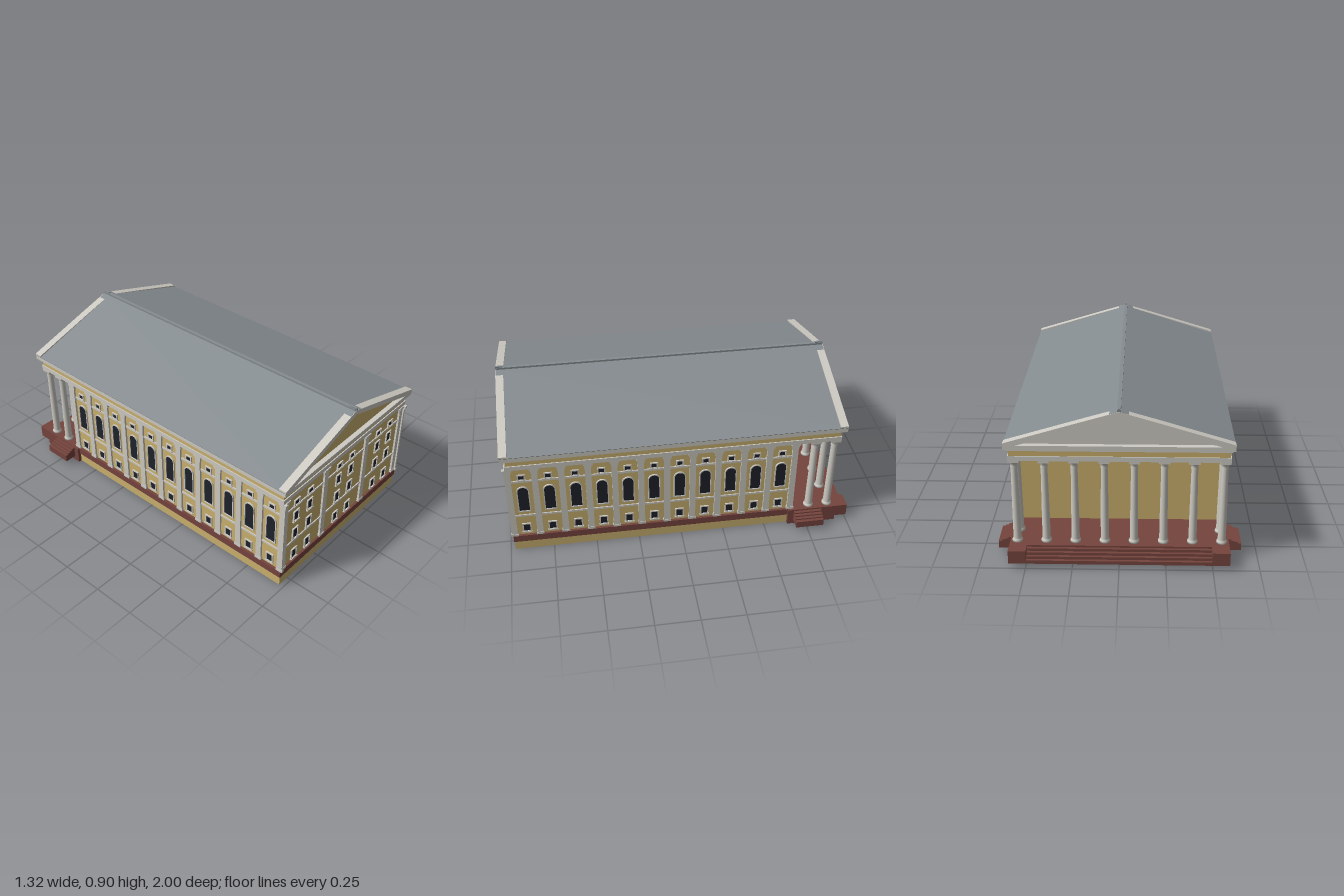
import * as THREE from 'three';

const mat = (name, color, side = THREE.FrontSide) => {
  const m = new THREE.MeshStandardMaterial({ color, side });
  m.name = name;
  return m;
};

export function createModel() {
  const ochre = mat('ochre wall', 0xcbb16f);
  const trim = mat('pale stone', 0xcecbc3);
  const brown = mat('red brown stone', 0x76443e);
  const glass = mat('dark glass', 0x20222c);
  const slate = mat('slate roof', 0x858c8f, THREE.DoubleSide);

  const model = new THREE.Group();
  model.name = 'columnedHall';

  const add = (parent, name, geo, material) => {
    const m = new THREE.Mesh(geo, material);
    m.name = name;
    parent.add(m);
    return m;
  };
  // Box given by its limits on each axis
  const box = (name, material, x0, x1, y0, y1, z0, z1, parent = model) =>
    add(parent, name, new THREE.BoxGeometry(x1 - x0, y1 - y0, z1 - z0), material)
      .position.set((x0 + x1) / 2, (y0 + y1) / 2, (z0 + z1) / 2);
  const polygon = pts => new THREE.Shape(pts.map(p => new THREE.Vector2(...p)));
  const extrude = (shape, depth) =>
    new THREE.ExtrudeGeometry(shape, { depth, bevelEnabled: false, curveSegments: 10 });
  // Hollow rectangular course around the building
  const ring = (name, material, x, z0, z1, y0, y1, t) => {
    for (const s of [-1, 1]) box(name, material, s > 0 ? x - t : -x, s > 0 ? x : t - x, y0, y1, z0, z1);
    box(name, material, t - x, x - t, y0, y1, z1 - t, z1);
    box(name, material, t - x, x - t, y0, y1, z0, z0 + t);
  };

  const W = 0.562, F = 0.965, B = -0.64, floor = 0.105, top = 0.595;

  // Open-bottomed walls and brown plinth band
  ring('wall', ochre, W, B, F, 0, 0.6, 0.01);
  box('baseCourse', ochre, W, W + 0.008, 0, 0.062, B, F + 0.005);
  box('baseCourse', ochre, -W - 0.008, -W, 0, 0.062, B, F + 0.005);
  box('baseCourse', ochre, -W - 0.008, W + 0.008, 0, 0.062, F, F + 0.008);
  ring('plinthBand', brown, W + 0.015, B, F + 0.013, 0.062, floor, 0.017);

  // Entablature over hall and portico
  ring('architrave', trim, 0.58, -0.913, 0.978, top, 0.622, 0.04);
  ring('frieze', ochre, 0.574, -0.908, 0.972, 0.622, 0.656, 0.034);
  ring('corniceMoulding', trim, 0.585, -0.922, 0.985, 0.656, 0.668, 0.045);
  ring('cornice', trim, 0.597, -0.935, 0.998, 0.668, 0.692, 0.057);
  box('porticoCeiling', ochre, -0.545, 0.545, 0.61, 0.618, -0.88, B + 0.005);

  // Pitched roof and ridge
  for (const s of [-1, 1]) {
    const len = Math.hypot(0.597, 0.19);
    const slope = add(model, 'roofSlope', new THREE.BoxGeometry(len, 0.006, 1.932), slate);
    slope.position.set(s * 0.2985, 0.787, 0.0315);
    slope.rotation.z = -s * Math.atan2(0.19, 0.597);
  }
  box('ridge', slate, -0.01, 0.01, 0.878, 0.893, -0.934, 0.997);
  for (const z of [-0.935, 0.955]) box('ridgeEnd', slate, -0.006, 0.006, 0.88, 0.9, z, z + 0.044);

  // Pediments: tympanum and raking cornice at both ends
  const gable = polygon([[-0.56, 0.688], [0.56, 0.688], [0, 0.866]]);
  add(model, 'frontTympanum', extrude(gable, 0.01), ochre).position.z = 0.96;
  add(model, 'backTympanum', extrude(gable, 0.01), trim).position.z = -0.907;
  const rake = polygon([[-0.597, 0.69], [-0.54, 0.69], [0, 0.855], [0.54, 0.69], [0.597, 0.69],
    [0.597, 0.705], [0.2, 0.825], [0, 0.884], [-0.2, 0.825], [-0.597, 0.705]]);
  for (const z of [-0.937, 0.955]) add(model, 'rakingCornice', extrude(rake, 0.045), trim).position.z = z;

  // Window outline, optionally with an arched top
  const opening = (w, y0, y1, arched, Type) => {
    const p = new Type(), r = w / 2;
    p.moveTo(-r, y0);
    p.lineTo(r, y0);
    if (arched) p.absarc(0, y1 - r, r, 0, Math.PI, false);
    else p.lineTo(r, y1).lineTo(-r, y1);
    p.closePath();
    return p;
  };
  const addWindow = (wall, x, w, y0, y1, arched = false, b = 0.007) => {
    const g = new THREE.Group();
    g.name = 'window';
    g.position.x = x;
    const frame = opening(w + 2 * b, y0 - b, y1 + b, arched, THREE.Shape);
    frame.holes.push(opening(w, y0, y1, arched, THREE.Path));
    add(g, 'windowFrame', extrude(frame, 0.008), trim);
    add(g, 'windowPane', extrude(opening(w, y0, y1, arched, THREE.Shape), 0.003), glass);
    if (!arched) box('windowSill', trim, -w / 2 - 0.01, w / 2 + 0.01, y0 - 0.009, y0 - 0.003, 0, 0.011, g);
    wall.add(g);
  };
  // Pilaster with flared foot and capital
  const pilasterShape = polygon([[-0.022, floor], [0.022, floor], [0.022, 0.12], [0.018, 0.13],
    [0.017, 0.55], [0.021, 0.575], [0.026, 0.583], [0.026, top], [-0.026, top], [-0.026, 0.583],
    [-0.021, 0.575], [-0.017, 0.55], [-0.018, 0.13], [-0.022, 0.12]]);
  const addPilaster = (wall, x) => {
    add(wall, 'pilaster', extrude(pilasterShape, 0.012), trim).position.x = x;
    box('pilasterCapital', trim, x - 0.026, x + 0.026, 0.582, top, 0, 0.018, wall);
    box('pilasterFoot', trim, x - 0.022, x + 0.022, floor, 0.12, 0, 0.015, wall);
  };
  const addCourses = (wall, half) => {
    for (const [y0, y1] of [[0.244, 0.256], [0.494, 0.506]])
      box('stringCourse', trim, -half, half, y0, y1, 0, 0.006, wall);
  };

  // Front facade
  const front = new THREE.Group();
  front.name = 'frontFacade';
  front.position.z = F;
  model.add(front);
  addCourses(front, W);
  for (const x of [-0.55, -0.195, 0.195, 0.55]) addPilaster(front, x);
  for (const x of [-0.447, -0.327, -0.06, 0.06, 0.327, 0.447])
    for (const [y0, y1] of [[0.124, 0.18], [0.27, 0.335], [0.4, 0.46], [0.512, 0.542]])
      addWindow(front, x, 0.036, y0, y1);

  // Side facades: eleven bays between twelve pilasters
  const pitch = 0.1472, mid = 0.1585;
  for (const s of [-1, 1]) {
    const side = new THREE.Group();
    side.name = s > 0 ? 'leftFacade' : 'rightFacade';
    side.position.set(s * W, 0, mid);
    side.rotation.y = s * Math.PI / 2;
    model.add(side);
    addCourses(side, 0.8);
    for (let i = 0; i < 12; i++) addPilaster(side, (i - 5.5) * pitch);
    for (let i = 0; i < 11; i++) {
      const x = (i - 5) * pitch;
      addWindow(side, x, 0.036, 0.133, 0.182);
      addWindow(side, x, 0.058, 0.287, 0.457, true, 0.006);
      addWindow(side, x, 0.03, 0.515, 0.542);
    }
  }

  // Portico columns: eight across the back and one behind each end
  const columnGeo = new THREE.LatheGeometry([[0, floor], [0.029, floor], [0.029, 0.115], [0.025, 0.122],
    [0.022, 0.128], [0.0215, 0.25], [0.018, 0.545], [0.021, 0.55], [0.018, 0.556], [0.02, 0.57],
    [0.028, 0.583]].map(p => new THREE.Vector2(...p)), 16);
  const addColumn = (x, z) => {
    add(model, 'column', columnGeo, trim).position.set(x, 0, z);
    box('columnCapital', trim, x - 0.029, x + 0.029, 0.582, top, z - 0.029, z + 0.029);
  };
  for (let i = 0; i < 8; i++) addColumn(-0.55 + i * 1.1 / 7, -0.883);
  for (const s of [-1, 1]) addColumn(s * 0.55, -0.77);

  // Portico platform, hollow beneath, with back steps between end blocks
  box('porticoFloor', brown, -0.59, 0.59, 0.085, floor, -0.935, B);
  box('platformBack', brown, -0.59, 0.59, 0.03, 0.085, -0.935, -0.915);
  for (const s of [-1, 1]) {
    const span = (a, b) => (s > 0 ? [a, b] : [-b, -a]);
    box('platformSide', brown, ...span(0.57, 0.59), 0, 0.085, -0.93, B);
    box('stepBlock', brown, ...span(0.495, 0.59), 0.03, floor, -1, -0.935);
    // Side stairs
    for (let i = 0; i < 4; i++)
      box('sideStep', brown, ...span(0.59 + i * 0.018, 0.608 + i * 0.018), 0.03, 0.096 - i * 0.008, -0.84, -0.675);
  }
  for (let i = 0; i < 4; i++)
    box('backStep', brown, -0.495, 0.495, 0.03, 0.095 - i * 0.015, -0.951 - i * 0.0163, -0.935 - i * 0.0163);

  return model;
}
